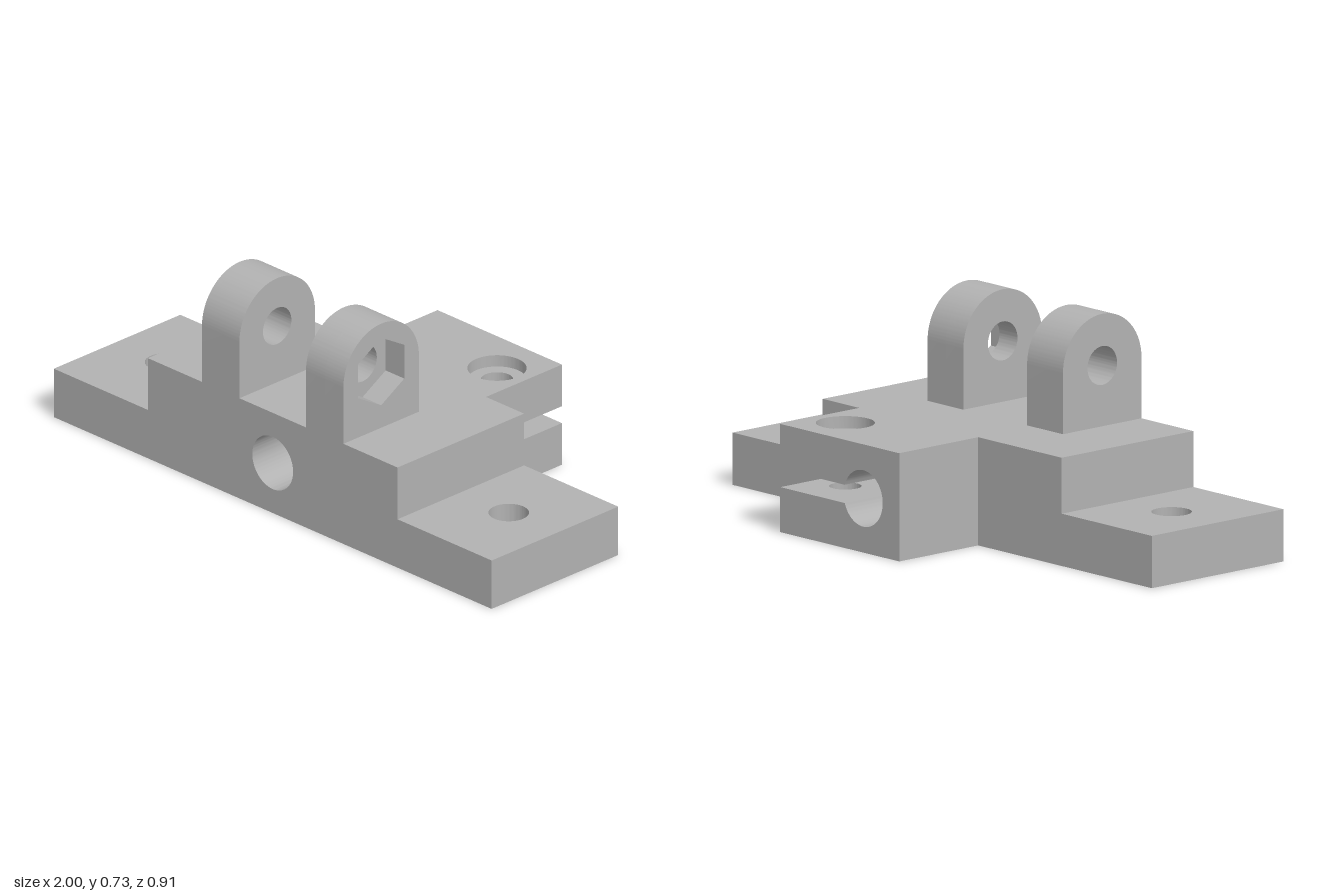
import * as THREE from 'three';
import { toCreasedNormals } from 'three/addons/utils/BufferGeometryUtils.js';

const FRONT = 0.456, MID = -0.114, BACK = -0.456;   // z limits
const TOP = 0.356, FLANGE = 0.172;                  // heights
const BORE_Y = 0.178, BORE_R = 0.093;

// Rectangle outline in shape coordinates
function rect(u0, v0, u1, v1) {
  return new THREE.Shape([[u0, v0], [u1, v0], [u1, v1], [u0, v1]].map(p => new THREE.Vector2(...p)));
}

function roundHole(u, v, r) {
  return new THREE.Path().absarc(u, v, r, 0, Math.PI * 2, true);
}

// Hexagonal nut pocket with corners pointing along +v and -v
function hexHole(u, v, r) {
  const pts = [];
  for (let i = 0; i < 6; i++) {
    const a = Math.PI / 2 - i * Math.PI / 3;
    pts.push(new THREE.Vector2(u + r * Math.cos(a), v + r * Math.sin(a)));
  }
  return new THREE.Path(pts);
}

// Extrude a shape from one position to another along an axis.
// Shape coordinates: axis z = (x, y), axis y = (x, -z), axis x = (-z, y)
function slab(shape, holes, axis, from, to) {
  shape.holes.push(...holes);
  const g = new THREE.ExtrudeGeometry(shape, { depth: to - from, bevelEnabled: false, curveSegments: 48 });
  g.translate(0, 0, from);
  if (axis === 'y') g.rotateX(-Math.PI / 2);
  if (axis === 'x') g.rotateY(Math.PI / 2);
  g.clearGroups();
  return toCreasedNormals(g, 0.5);
}

export function createModel() {
  const model = new THREE.Group();
  model.name = 'clampBracket';
  const grey = new THREE.MeshStandardMaterial({ color: 0xb2b2b2 });
  grey.name = 'grey';

  function add(name, geometry, parent = model) {
    const mesh = new THREE.Mesh(geometry, grey);
    mesh.name = name;
    parent.add(mesh);
  }

  // Raised centre block with the lengthwise bore
  add('centreBlock', slab(rect(-0.57, 0, 0.57, TOP), [roundHole(0, BORE_Y, BORE_R)], 'z', MID, FRONT));

  // Side flanges with mounting holes
  for (const [side, s] of [['left', 1], ['right', -1]]) {
    const x0 = s > 0 ? 0.57 : -1;
    add(side + 'Flange', slab(rect(x0, -FRONT, x0 + 0.43, -MID),
      [roundHole(s * 0.785, -0.167, 0.065)], 'y', 0, FLANGE));
  }

  // Clamp at the back: a spine whose bore opens sideways into the slot
  const clamp = new THREE.Group();
  clamp.name = 'clamp';
  model.add(clamp);
  const half = 0.03, jawX = 0.14, clampX = 0.396;
  const open = Math.asin(half / BORE_R);
  const spine = new THREE.Shape();
  spine.moveTo(-0.172, 0);
  spine.lineTo(jawX, 0);
  spine.lineTo(jawX, BORE_Y - half);
  spine.lineTo(BORE_R * Math.cos(open), BORE_Y - half);
  spine.absarc(0, BORE_Y, BORE_R, -open, -2 * Math.PI + open, true);
  spine.lineTo(jawX, BORE_Y + half);
  spine.lineTo(jawX, TOP);
  spine.lineTo(-0.172, TOP);
  spine.closePath();
  add('clampSpine', slab(spine, [], 'z', BACK, MID), clamp);

  // Clamp jaws, layered to form the nut pocket, bolt hole and counterbore
  const boltX = 0.268, boltV = 0.29;
  const bolt = () => roundHole(boltX, boltV, 0.052);
  const layers = [
    ['lowerJawNutPocket', hexHole(boltX, boltV, 0.095), 0, 0.08],
    ['lowerJaw', bolt(), 0.08, BORE_Y - half],
    ['upperJaw', bolt(), BORE_Y + half, TOP - 0.04],
    ['upperJawCounterbore', roundHole(boltX, boltV, 0.095), TOP - 0.04, TOP],
  ];
  for (const [name, hole, y0, y1] of layers) {
    add(name, slab(rect(jawX, -MID, clampX, -BACK), [hole], 'y', y0, y1), clamp);
  }

  // Round-topped hinge ears; the left one has a nut pocket on its outer face
  const earZ = 0.286, earY = 0.556, earR = 0.17;
  function earShape() {
    const s = new THREE.Shape();
    s.moveTo(-earZ - earR, TOP);
    s.lineTo(-earZ + earR, TOP);
    s.lineTo(-earZ + earR, earY);
    s.absarc(-earZ, earY, earR, 0, Math.PI, false);
    s.closePath();
    return s;
  }
  const pin = () => roundHole(-earZ, earY, 0.064);
  add('rightEar', slab(earShape(), [pin()], 'x', -0.323, -0.152));
  add('leftEar', slab(earShape(), [pin()], 'x', 0.152, 0.238));
  add('leftEarNutPocket', slab(earShape(), [hexHole(-earZ, earY, 0.12)], 'x', 0.238, 0.323));

  return model;
}
